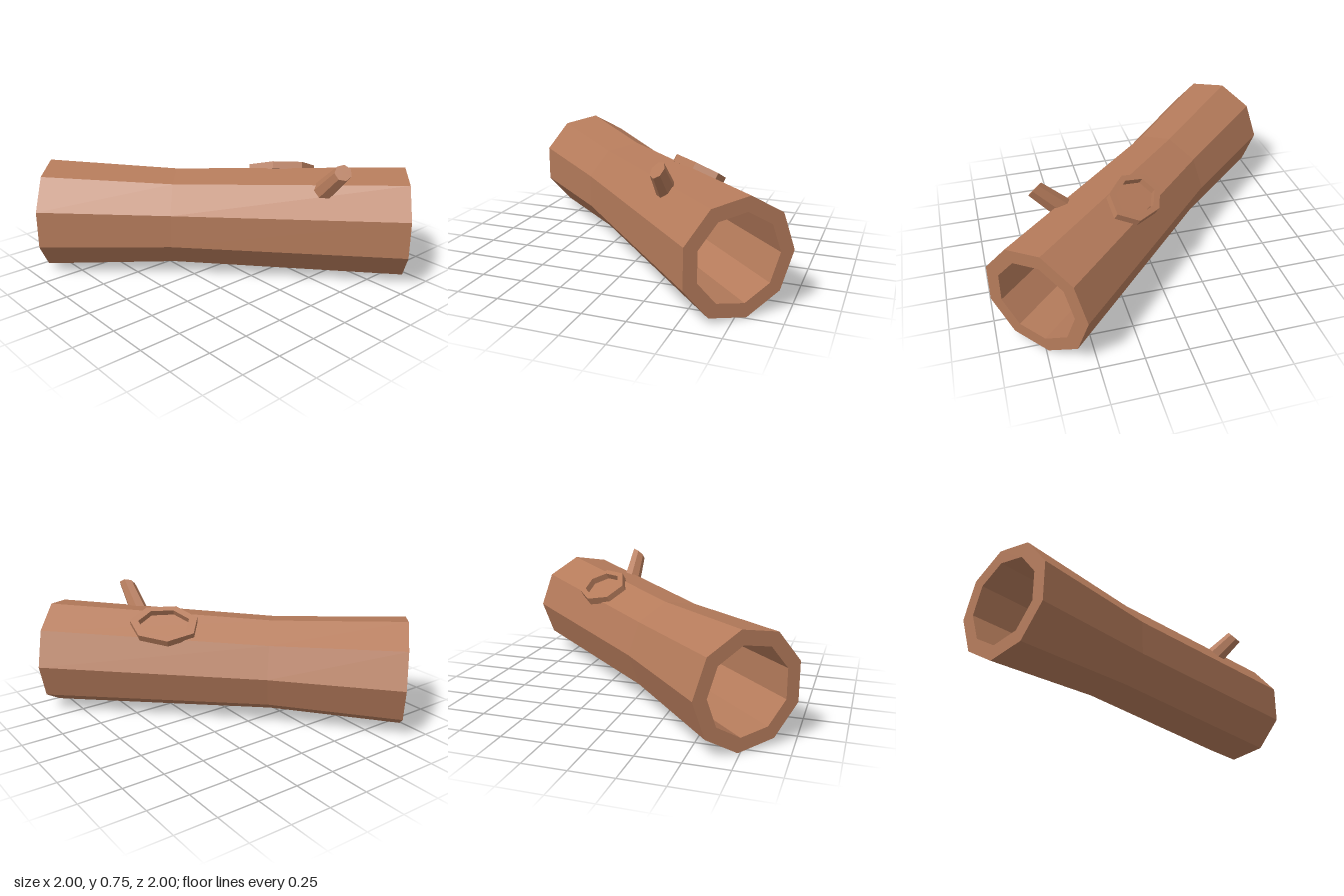
import * as THREE from 'three';

const bark = new THREE.MeshStandardMaterial({ color: 0xb57b5b, flatShading: true });
const AXIS_Y = 0.325;
const points = (list) => list.map(([r, y]) => new THREE.Vector2(r, y));

function addMesh(parent, name, geometry) {
  const mesh = new THREE.Mesh(geometry, bark);
  mesh.name = name;
  parent.add(mesh);
  return mesh;
}

export function createModel() {
  const model = new THREE.Group();
  model.name = 'hollowLog';

  // Log frame: x runs along the trunk, turned 45 degrees about the vertical
  const log = new THREE.Group();
  log.name = 'log';
  log.rotation.y = Math.PI / 4;
  model.add(log);

  // Nine-sided hollow trunk with a slight waist and a straight bore
  const half = 1.092, outer = 0.33, waist = 0.292, bore = 0.247;
  const trunkGeometry = new THREE.LatheGeometry(points([
    [bore, -half], [outer, -half], [waist, -0.3], [outer, half], [bore, half], [bore, -half],
  ]), 9, Math.PI);
  trunkGeometry.rotateZ(-Math.PI / 2);
  addMesh(log, 'trunk', trunkGeometry).position.set(0, AXIS_Y, 0.01);

  // Raised oval knot ring lying on the upper rear facet
  const knotGeometry = new THREE.LatheGeometry(points([
    [0.75, 0], [1, 0], [1, 0.046], [0.75, 0.046], [0.75, 0],
  ]), 7, Math.PI / 2);
  knotGeometry.scale(0.212, 1, 0.145);
  const knot = addMesh(log, 'knotRing', knotGeometry);
  const tilt = Math.PI / 6, lift = 0.275;
  knot.rotation.set(-tilt, 0, 0.036);
  knot.position.set(0.34, AXIS_Y + lift * Math.cos(tilt), -lift * Math.sin(tilt) - 0.005);

  // Broken branch: a tapered stub with slanted ends, poking through the wall
  const start = new THREE.Vector3(0.455, 0.475, -0.295);
  const end = new THREE.Vector3(0.68, 0.712, -0.298);
  const facing = new THREE.Vector3(0.6, 0.65, 0.45).normalize();
  const side = new THREE.Vector3(0, 0, 1).cross(facing).normalize();
  const across = side.clone().cross(facing);
  const branchGeometry = new THREE.CylinderGeometry(0.051, 0.071, 1, 7);
  branchGeometry.translate(0, 0.5, 0);
  branchGeometry.applyMatrix4(
    new THREE.Matrix4().makeBasis(side, end.clone().sub(start), across).setPosition(start));
  addMesh(model, 'branchStub', branchGeometry);

  return model;
}
